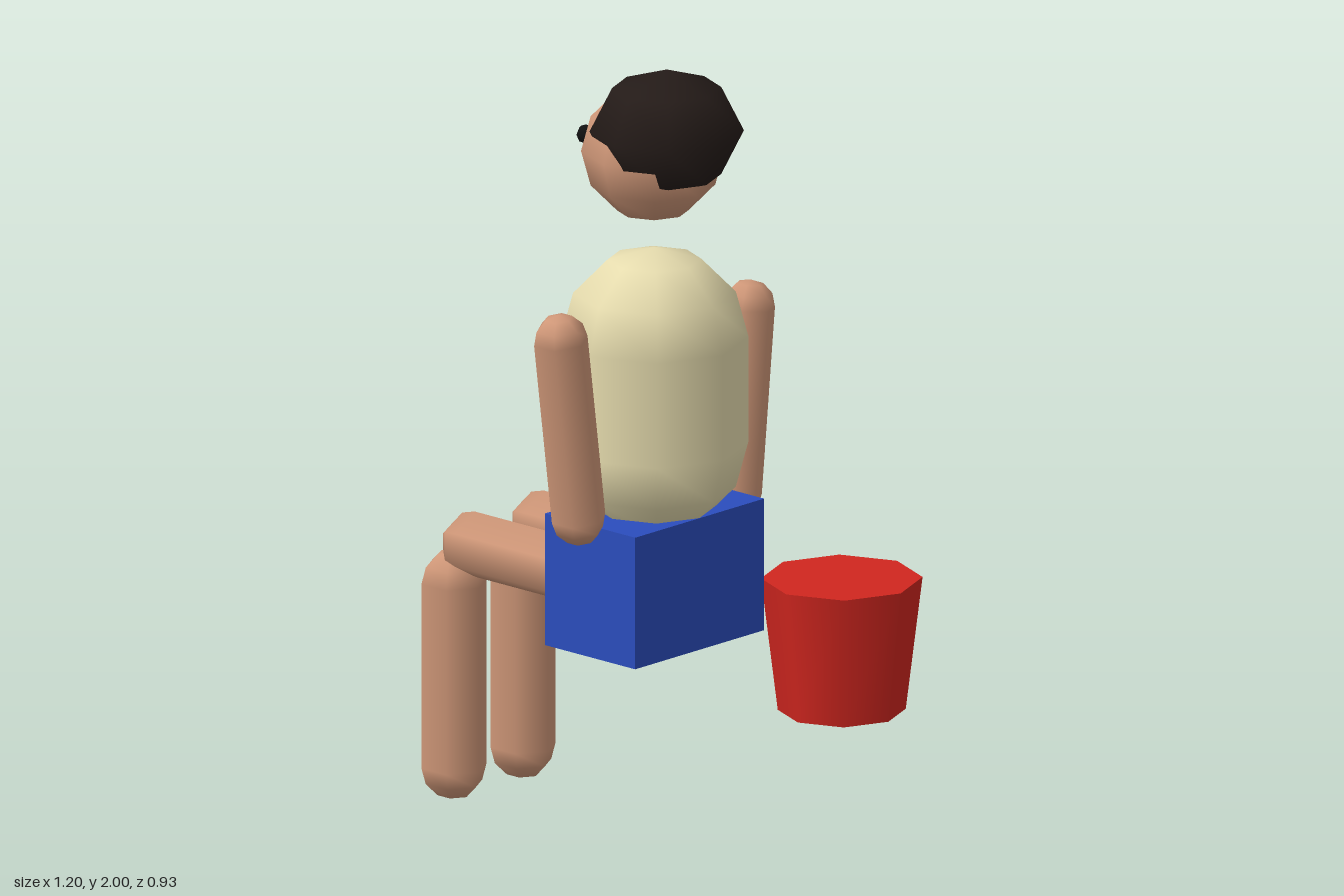
import * as THREE from 'three';

const mat = (color) => new THREE.MeshStandardMaterial({ color });
const skin = mat(0xcf9778), hairColor = mat(0x241b18), shirt = mat(0xe6dcae);
const blue = mat(0x2b4dbd), red = mat(0xd1261f), black = mat(0x111111);

const BODY_X = -0.2;

export function createModel() {
  const model = new THREE.Group();
  model.name = 'seatedFigureWithBucket';

  const add = (name, geometry, material, x, y, z) => {
    const mesh = new THREE.Mesh(geometry, material);
    mesh.name = name;
    mesh.position.set(x, y, z);
    model.add(mesh);
    return mesh;
  };

  // Six-sided capsule of the given overall length, with corners towards +z and -z
  const limb = (radius, length) =>
    new THREE.CapsuleGeometry(radius, length - 2 * radius, 3, 6).rotateY(Math.PI / 2);

  // Head, hair shell and eyes; the figure looks towards -z
  add('head', new THREE.SphereGeometry(0.18, 8, 6), skin, BODY_X, 1.78, 0.18);
  add('hair', new THREE.SphereGeometry(0.193, 8, 4).scale(1, 0.83, 1), hairColor, BODY_X, 1.84, 0.227);
  for (const [side, name] of [[1, 'leftEye'], [-1, 'rightEye']]) {
    add(name, new THREE.SphereGeometry(0.025, 6, 4).rotateY(Math.PI / 2), black,
      BODY_X + side * 0.072, 1.805, 0.018);
  }

  // Torso and shorts
  add('torso', new THREE.CapsuleGeometry(0.235, 0.273, 3, 8), shirt, BODY_X, 1.157, 0.185);
  add('shorts', new THREE.BoxGeometry(0.47, 0.343, 0.31), blue, BODY_X, 0.682, 0.185);

  // Arms, leaning outwards
  add('rightArm', limb(0.07, 0.62), skin, -0.508, 1.12, 0.184).rotation.z = 0.135;
  add('leftArm', limb(0.07, 0.62), skin, 0.119, 1.06, 0.184).rotation.z = -0.1;

  // Legs: level thighs and upright shins
  for (const [side, name] of [[1, 'left'], [-1, 'right']]) {
    const x = BODY_X + side * 0.126;
    add(name + 'Thigh', limb(0.085, 0.65), skin, x, 0.68, -0.073).rotation.x = Math.PI / 2;
    add(name + 'Shin', limb(0.085, 0.65), skin, x, 0.328, -0.384);
  }

  // Bucket
  add('bucket', new THREE.CylinderGeometry(0.202, 0.16, 0.343, 8), red, 0.4, 0.381, 0.263);

  return model;
}
